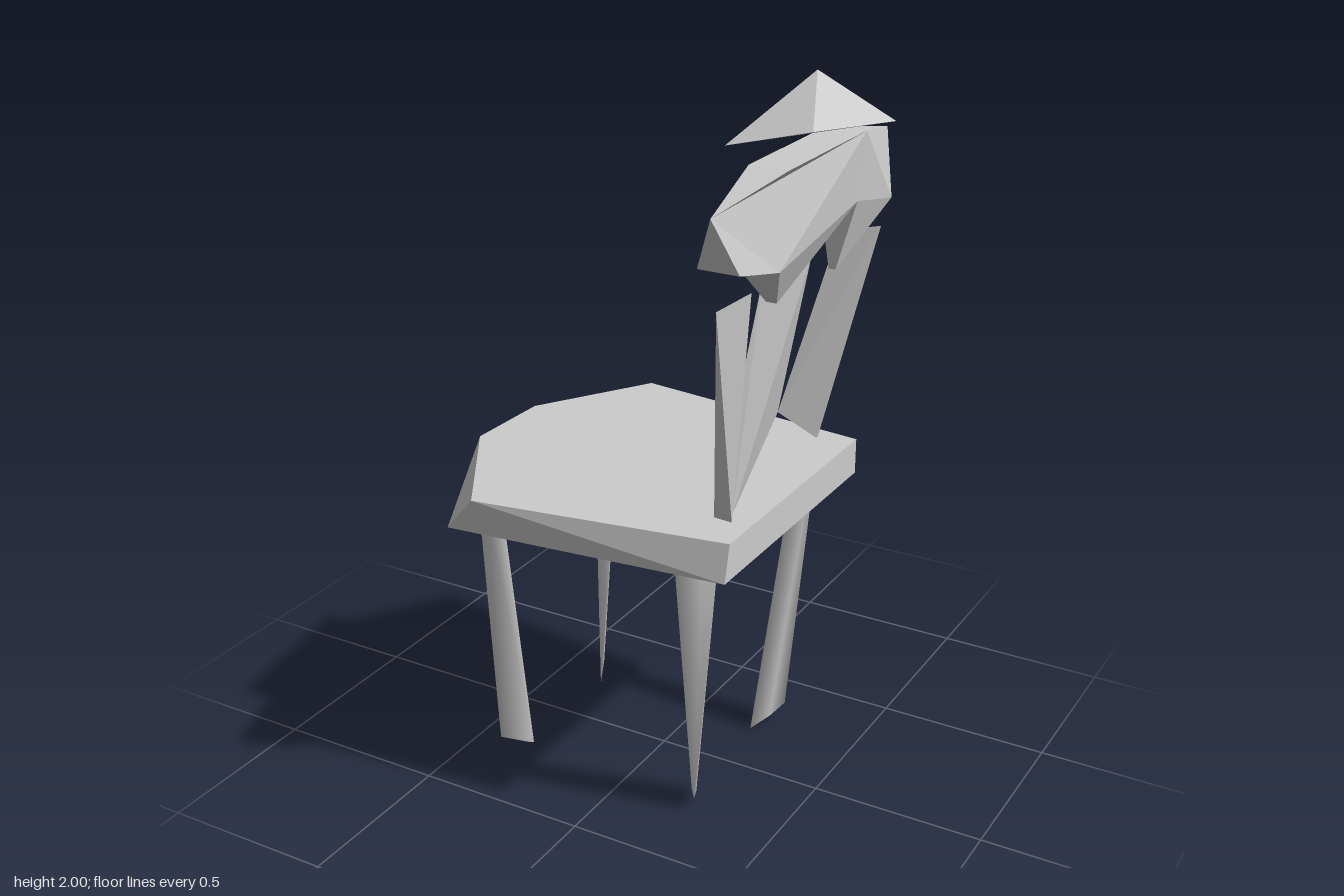
import * as THREE from 'three';
import { ConvexGeometry } from 'three/addons/geometries/ConvexGeometry.js';
import { mergeVertices } from 'three/addons/utils/BufferGeometryUtils.js';

const material = new THREE.MeshStandardMaterial({ color: 0xcccccc, side: THREE.DoubleSide });
const flatMaterial = new THREE.MeshStandardMaterial({ color: 0xcccccc, side: THREE.DoubleSide, flatShading: true });

// Faceted convex solid around a few corner points [x, y, z]
function hull(points) {
  return new ConvexGeometry(points.map((p) => new THREE.Vector3(...p)));
}

// Same solid with shared, smooth normals
function smoothHull(points) {
  const source = hull(points);
  source.deleteAttribute('normal');
  const geometry = mergeVertices(source);
  geometry.computeVertexNormals();
  return geometry;
}

// Solid from an outline of [z, y, frontX, backX]; the two faces may meet at the tips
function slabFromOutline(outline) {
  const n = outline.length;
  const positions = [];
  for (const [z, y, xf] of outline) positions.push(xf, y, z);
  for (const [z, y, , xb] of outline) positions.push(xb, y, z);
  const contour = outline.map(([z, y]) => new THREE.Vector2(z, y));
  const index = [];
  for (const [a, b, c] of THREE.ShapeUtils.triangulateShape(contour, [])) {
    index.push(a, b, c, n + a, n + c, n + b);
  }
  for (let i = 0; i < n; i++) {
    const j = (i + 1) % n;
    index.push(i, n + i, j, j, n + i, n + j);
  }
  const geometry = new THREE.BufferGeometry();
  geometry.setAttribute('position', new THREE.Float32BufferAttribute(positions, 3));
  geometry.setIndex(index);
  geometry.computeVertexNormals();
  return geometry;
}

export function createModel() {
  const group = new THREE.Group();
  const add = (name, geometry, mat = flatMaterial) => {
    const mesh = new THREE.Mesh(geometry, mat);
    mesh.name = name;
    group.add(mesh);
  };

  // Seat: top and bottom outlines differ at the bevelled front corners
  const seatTop = [[0.4, 0.365], [-0.32, 0.48], [-0.55, 0.11], [-0.54, -0.16], [-0.33, -0.495], [0.4, -0.41]];
  const seatBottom = [[0.4, 0.39], [-0.41, 0.47], [-0.55, 0.11], [-0.54, -0.16], [-0.41, -0.49], [0.4, -0.41]];
  add('seat', hull([
    ...seatTop.map(([x, z]) => [x, 0.915, z]),
    ...seatBottom.map(([x, z]) => [x, 0.81, z]),
  ]));

  // Legs: thin twisted blades, three corners under the seat and two or three at the foot
  const legs = {
    frontLegLeft: [
      [-0.45, 0.81, 0.27], [-0.36, 0.81, 0.35], [-0.37, 0.81, 0.27],
      [-0.4, 0.04, 0.275], [-0.3, 0.04, 0.25], [-0.34, 0.01, 0.22],
    ],
    frontLegRight: [
      [-0.45, 0.81, -0.35], [-0.36, 0.81, -0.3], [-0.365, 0.81, -0.355],
      [-0.4, 0.04, -0.3], [-0.34, 0, -0.19], [-0.37, 0.04, -0.26],
    ],
    backLegLeft: [
      [0.31, 0.81, 0.255], [0.23, 0.81, 0.35], [0.3, 0.81, 0.33],
      [0.25, 0.04, 0.27], [0.19, 0, 0.175], [0.23, 0.03, 0.22],
    ],
    backLegRight: [
      [0.31, 0.81, -0.3], [0.23, 0.81, -0.36], [0.3, 0.81, -0.35],
      [0.25, 0.05, -0.3], [0.19, 0, -0.19], [0.23, 0.03, -0.24],
    ],
  };
  for (const [name, points] of Object.entries(legs)) add(name, smoothHull(points), material);

  // Back splat
  add('backSplat', hull([
    [0.29, 0.91, 0.25], [0.32, 0.91, 0.2], [0.235, 1.03, -0.23],
    [0.36, 1.56, -0.09], [0.395, 1.56, -0.08], [0.37, 1.56, 0.15],
  ]));

  // Back uprights
  add('backUprightLeft', hull([
    [0.345, 0.91, 0.25], [0.29, 0.91, 0.245], [0.385, 1.555, 0.425], [0.4, 1.56, 0.27],
  ]));
  add('backUprightRight', hull([
    [0.235, 1.03, -0.23], [0.295, 0.91, -0.37], [0.46, 1.57, -0.375], [0.365, 1.56, -0.315],
  ]));

  // Crest rail with pointed ends and a ragged lower edge
  add('crestRail', slabFromOutline([
    [0.505, 1.81, 0.41, 0.41], [0.22, 1.865, 0.36, 0.47], [-0.23, 1.865, 0.36, 0.47],
    [-0.505, 1.81, 0.41, 0.41], [-0.45, 1.63, 0.35, 0.455], [-0.22, 1.48, 0.38, 0.4],
    [-0.21, 1.68, 0.35, 0.46], [0.13, 1.49, 0.37, 0.4], [0.26, 1.62, 0.35, 0.47],
    [0.44, 1.66, 0.34, 0.455],
  ]));

  // Twisted cap floating above the crest rail
  add('topCap', hull([
    [0.31, 1.912, 0.25], [0.31, 2, -0.26], [0.535, 1.89, -0.265], [0.545, 1.975, 0.255],
  ]));

  return group;
}
